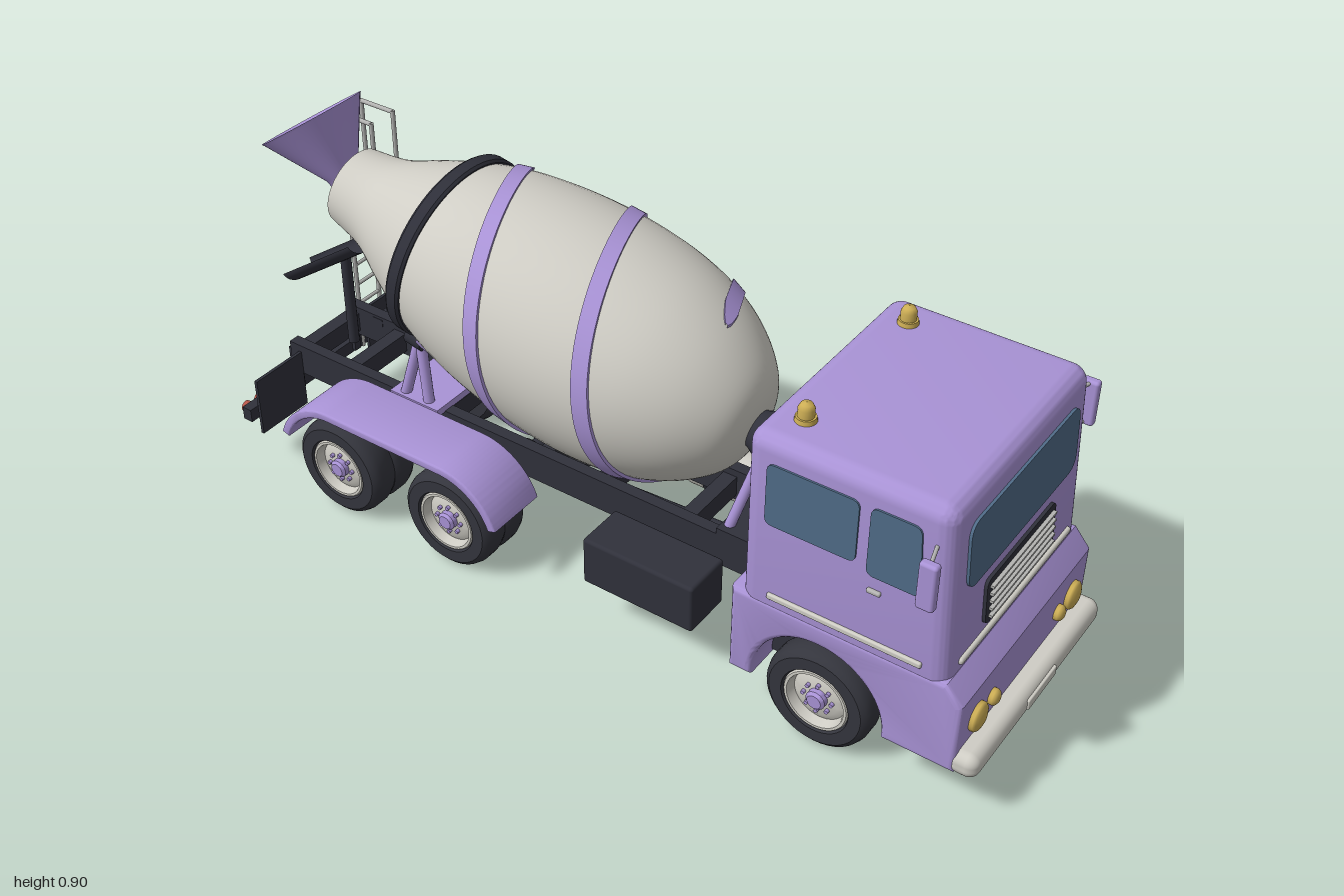
import * as THREE from 'three';
import { toCreasedNormals } from 'three/addons/utils/BufferGeometryUtils.js';
import { RoundedBoxGeometry } from 'three/addons/geometries/RoundedBoxGeometry.js';

const V = (x, y, z) => new THREE.Vector3(x, y, z);
const P = (x, y) => new THREE.Vector2(x, y);
const RAD = Math.PI / 180;

export function createModel() {
  const mat = (name, color) => {
    const m = new THREE.MeshStandardMaterial({ color });
    m.name = name;
    return m;
  };
  const purple = mat('purple paint', 0xa993d6);
  const cream = mat('drum cream', 0xcfcdc5);
  const dark = mat('dark frame', 0x30313b);
  const rubber = mat('tyre rubber', 0x34353d);
  const glass = mat('window glass', 0x506c88);
  const gold = mat('lamp gold', 0xcdae55);
  const red = mat('lamp red', 0xb8574a);
  const steel = mat('steel', 0xb4b4b2);
  const funnelPaint = mat('funnel purple', 0xa993d6);
  funnelPaint.side = THREE.DoubleSide;
  const chuteDark = mat('chute dark', 0x30313b);
  chuteDark.side = THREE.DoubleSide;

  const truck = new THREE.Group();
  truck.name = 'mixerTruck';
  const add = (name, geo, m, x = 0, y = 0, z = 0, parent = truck) => {
    const mesh = new THREE.Mesh(geo, m);
    mesh.name = name;
    mesh.position.set(x, y, z);
    parent.add(mesh);
    return mesh;
  };
  const box = (name, m, w, h, d, x, y, z, r = 0) =>
    add(name, r ? new RoundedBoxGeometry(w, h, d, 4, r) : new THREE.BoxGeometry(w, h, d), m, x, y, z);
  // Round bar between two points
  const bar = (name, m, a, b, r) => {
    const d = b.clone().sub(a);
    const mesh = add(name, new THREE.CylinderGeometry(r, r, d.length(), 14), m);
    mesh.position.copy(a).addScaledVector(d, 0.5);
    mesh.quaternion.setFromUnitVectors(V(0, 1, 0), d.normalize());
    return mesh;
  };
  // Polygon with rounded corners
  const roundPoly = (pts, r) => {
    const s = new THREE.Shape();
    pts.forEach((p, i) => {
      const toward = (q) => p.clone().addScaledVector(q.clone().sub(p).normalize(), r);
      const a = toward(pts[(i + pts.length - 1) % pts.length]);
      const b = toward(pts[(i + 1) % pts.length]);
      i ? s.lineTo(a.x, a.y) : s.moveTo(a.x, a.y);
      s.quadraticCurveTo(p.x, p.y, b.x, b.y);
    });
    return s;
  };
  const rect = (w, h, r) => roundPoly([P(-w / 2, -h / 2), P(w / 2, -h / 2), P(w / 2, h / 2), P(-w / 2, h / 2)], r);
  // Side profile in (z, y), extruded from x0 to x1
  const sideExtrude = (shape, x0, x1, bevel = 0) => {
    const g = new THREE.ExtrudeGeometry(shape, {
      depth: x1 - x0 - 2 * bevel, curveSegments: 20, bevelEnabled: bevel > 0,
      bevelSize: bevel, bevelThickness: bevel, bevelOffset: -bevel, bevelSegments: 3,
    });
    g.rotateY(-Math.PI / 2).translate(x1 - bevel, 0, 0);
    return toCreasedNormals(g, 0.6);
  };

  // Cab: upper body with leaning front, lower body with wheel arches
  const upper = new RoundedBoxGeometry(0.568, 0.447, 0.437, 5, 0.035);
  const up = upper.attributes.position;
  for (let i = 0; i < up.count; i++)
    if (up.getZ(i) > 0) up.setZ(i, up.getZ(i) + (0.2235 - up.getY(i)) * 0.055);
  upper.computeVertexNormals();
  add('cabUpper', toCreasedNormals(upper, 0.6), purple, 0, 0.5035, 0.677);
  const low = new THREE.Shape();
  low.moveTo(0.44, 0.113);
  low.lineTo(0.493, 0.113);
  low.absarc(0.643, 0.125, 0.15, Math.PI, 0, true);
  [[0.793, 0.113], [0.955, 0.113], [0.955, 0.285], [0.918, 0.328], [0.44, 0.328]].forEach((p) => low.lineTo(...p));
  add('cabLower', sideExtrude(low, -0.286, 0.286, 0.012), purple);
  box('wheelHousing', dark, 0.4, 0.17, 0.34, 0, 0.205, 0.643);

  // Front face details
  const frontPlate = (name, m, w, h, r, y, d = 0.008) => {
    const g = new THREE.ExtrudeGeometry(rect(w, h, r), { depth: d, bevelEnabled: false });
    const mesh = add(name, g, m, 0, y, 0.8955 + (0.727 - y) * 0.055 - 0.002);
    mesh.rotation.x = -0.055;
  };
  frontPlate('windshield', glass, 0.455, 0.152, 0.035, 0.591);
  frontPlate('grille', dark, 0.294, 0.108, 0.018, 0.429, 0.009);
  for (let i = 0; i < 5; i++)
    box('grilleBar', steel, 0.27, 0.006, 0.008, 0, 0.393 + i * 0.018, 0.925 - i * 0.001);
  box('frontTrim', cream, 0.474, 0.015, 0.016, 0, 0.35, 0.916, 0.006);
  box('bumper', cream, 0.57, 0.058, 0.066, 0, 0.137, 0.967, 0.024);
  box('numberPlate', cream, 0.125, 0.025, 0.008, 0, 0.14, 1.0, 0.003);

  for (const s of [-1, 1]) {
    // Headlights
    for (const [x, r] of [[0.21, 0.032], [0.145, 0.018]]) {
      const lamp = add('headlight', new THREE.LatheGeometry(
        [P(r, -0.01), P(r, 0.008), P(r * 0.85, 0.013), P(r * 0.5, 0.017), P(0, 0.018)], 28), gold, s * x, 0.21, 0.955);
      lamp.rotation.x = Math.PI / 2;
    }
    // Side windows, trim and handle
    const x0 = s > 0 ? 0.28 : -0.288;
    const front = [P(0.732, 0.512), P(0.847, 0.512), P(0.836, 0.672), P(0.732, 0.672)];
    const rear = [P(0.51, 0.527), P(0.708, 0.527), P(0.708, 0.672), P(0.51, 0.672)];
    for (const w of [front, rear]) add('sideWindow', sideExtrude(roundPoly(w, 0.018), x0, x0 + 0.008), glass);
    box('sideTrim', cream, 0.01, 0.014, 0.34, s * 0.286, 0.35, 0.694, 0.004);
    box('doorHandle', steel, 0.01, 0.01, 0.03, s * 0.287, 0.477, 0.752, 0.004);
    // Mirror
    for (const y of [0.643, 0.55]) bar('mirrorArm', steel, V(s * 0.28, y, 0.865), V(s * 0.336, y, 0.88), 0.004);
    box('mirror', purple, 0.021, 0.108, 0.038, s * 0.336, 0.596, 0.88, 0.007);
    // Roof beacon
    add('beaconBase', new THREE.CylinderGeometry(0.021, 0.023, 0.012, 20), gold, s * 0.196, 0.731, 0.535);
    add('beacon', new THREE.LatheGeometry(
      [P(0.017, 0), P(0.017, 0.02), P(0.012, 0.03), P(0, 0.033)], 20), gold, s * 0.196, 0.735, 0.535);
  }

  // Wheels: lathed tyre, dished rim, hub and nuts, outer side towards +x
  const turn = (pts) => toCreasedNormals(new THREE.LatheGeometry(pts.map((p) => P(...p)), 40), 0.6).rotateZ(-Math.PI / 2);
  const tyre = turn([[0, -0.03], [0.07, -0.03], [0.078, -0.038], [0.106, -0.038], [0.116, -0.03], [0.121, -0.015],
    [0.121, 0.015], [0.116, 0.03], [0.106, 0.038], [0.078, 0.038], [0.074, 0.03]]);
  const rim = turn([[0.075, 0.03], [0.072, 0.036], [0.066, 0.036], [0.06, 0.014], [0.045, 0.022], [0, 0.022]]);
  const hub = turn([[0.022, 0.02], [0.022, 0.034], [0.016, 0.04], [0, 0.04]]);
  const nut = new THREE.CylinderGeometry(0.005, 0.005, 0.012, 6).rotateZ(-Math.PI / 2);
  const wheel = (name, x, z, s) => {
    const g = new THREE.Group();
    g.name = name;
    g.position.set(s * x, 0.122, z);
    if (s < 0) g.rotation.y = Math.PI;
    add('tyre', tyre, rubber, 0, 0, 0, g);
    add('rim', rim, cream, 0, 0, 0, g);
    add('hub', hub, purple, 0, 0, 0, g);
    for (let i = 0; i < 8; i++)
      add('wheelNut', nut, purple, 0.024, 0.033 * Math.cos(i * Math.PI / 4), 0.033 * Math.sin(i * Math.PI / 4), g);
    truck.add(g);
  };
  for (const s of [-1, 1]) {
    wheel('frontWheel', 0.244, 0.643, s);
    for (const z of [-0.311, -0.633]) {
      wheel('rearOuterWheel', 0.244, z, s);
      wheel('rearInnerWheel', 0.18, z, s);
    }
    // Rear fender
    const f = new THREE.Shape();
    f.absarc(-0.311, 0.125, 0.161, 18 * RAD, 90 * RAD, false);
    f.absarc(-0.633, 0.125, 0.161, 90 * RAD, 162 * RAD, false);
    f.absarc(-0.633, 0.125, 0.14, 162 * RAD, 90 * RAD, true);
    f.absarc(-0.311, 0.125, 0.14, 90 * RAD, 18 * RAD, true);
    add('rearFender', sideExtrude(f, s > 0 ? 0.14 : -0.295, s > 0 ? 0.295 : -0.14, 0.004), purple);
    // Frame rail, mud flap and tail lamps
    box('frameRail', dark, 0.028, 0.08, 1.38, s * 0.1, 0.232, -0.23);
    box('mudFlap', dark, 0.15, 0.15, 0.008, s * 0.19, 0.18, -0.888);
    for (const x of [0.2, 0.241])
      add('tailLamp', new THREE.CylinderGeometry(0.014, 0.014, 0.016, 18).rotateX(Math.PI / 2), red, s * x, 0.14, -0.953);
  }

  // Chassis
  for (const z of [0.4, 0.2, -0.02, -0.18, -0.47, -0.75, -0.9])
    box('crossMember', dark, 0.2, 0.05, 0.035, 0, 0.23, z);
  for (const z of [0.643, -0.311, -0.633]) {
    bar('axle', dark, V(-0.2, 0.122, z), V(0.2, 0.122, z), 0.02);
    if (z < 0) add('differential', new THREE.SphereGeometry(0.046, 20, 14), dark, 0, 0.124, z);
  }
  bar('driveShaft', dark, V(0, 0.19, 0.45), V(0, 0.13, -0.633), 0.015);
  box('rearBeam', dark, 0.53, 0.034, 0.026, 0, 0.14, -0.933);
  for (const s of [-1, 1]) box('beamHanger', dark, 0.02, 0.12, 0.02, s * 0.1, 0.19, -0.92);

  // Fuel tank and tool box
  const tank = add('fuelTank', new THREE.LatheGeometry([P(0, -0.155), P(0.045, -0.155), P(0.057, -0.15), P(0.062, -0.138),
    P(0.062, 0.138), P(0.057, 0.15), P(0.045, 0.155), P(0, 0.155)], 36), cream, 0.188, 0.172, 0.198);
  tank.rotation.x = Math.PI / 2;
  for (const z of [0.29, 0.11])
    add('tankStrap', new THREE.CylinderGeometry(0.0645, 0.0645, 0.014, 36).rotateX(Math.PI / 2), dark, 0.188, 0.172, z);
  box('toolBox', dark, 0.12, 0.12, 0.28, -0.195, 0.175, 0.19, 0.008);

  // Drum, tilted with its mouth up at the rear
  const drum = new THREE.Group();
  drum.name = 'drum';
  drum.position.set(0, 0.64, -0.475);
  drum.rotation.x = -79 * RAD;
  truck.add(drum);
  const profile = new THREE.SplineCurve([[0, -0.808], [0.07, -0.8], [0.13, -0.768], [0.19, -0.695], [0.233, -0.6],
    [0.256, -0.49], [0.263, -0.37], [0.256, -0.24], [0.236, -0.11], [0.204, 0], [0.157, 0.107], [0.112, 0.2],
    [0.092, 0.295]].map((p) => P(...p))).getPoints(72);
  add('drumShell', new THREE.LatheGeometry(profile, 64), cream, 0, 0, 0, drum);
  add('drumMouth', new THREE.LatheGeometry([P(0.092, 0.295), P(0.08, 0.297), P(0.08, 0.296)], 48), cream, 0, 0, 0, drum);
  add('mouthOpening', new THREE.CylinderGeometry(0.081, 0.081, 0.01, 40), dark, 0, 0.2905, 0, drum);
  add('drumRing', toCreasedNormals(new THREE.LatheGeometry([P(0.19, -0.018), P(0.214, -0.018), P(0.219, -0.012),
    P(0.219, 0.012), P(0.214, 0.018), P(0.18, 0.018)], 64), 0.5), dark, 0, 0, 0, drum);
  const radiusAt = (t) => {
    const i = Math.max(1, profile.findIndex((p) => p.y >= t));
    const a = profile[i - 1], b = profile[i];
    return a.x + (b.x - a.x) * (t - a.y) / (b.y - a.y);
  };
  // Two raised spiral stripes
  const spiral = (start) => {
    const n = 120, pos = [], idx = [];
    for (let i = 0; i <= n; i++) {
      const deg = 410 * i / n, a = start + deg * RAD, t = -0.68 + deg * 0.001556;
      const w = 0.019 * Math.sqrt(Math.min(1, 0.02 + Math.min(i, n - i) / 4));
      for (const [dt, dr] of [[-w, -0.006], [-w, 0.007], [w, 0.007], [w, -0.006]]) {
        const r = radiusAt(t + dt) + dr;
        pos.push(r * Math.sin(a), t + dt, r * Math.cos(a));
      }
      if (i < n) for (let j = 0; j < 3; j++) {
        const k = i * 4 + j;
        idx.push(k, k + 4, k + 1, k + 4, k + 5, k + 1);
      }
    }
    const g = new THREE.BufferGeometry();
    g.setAttribute('position', new THREE.Float32BufferAttribute(pos, 3));
    g.setIndex(idx);
    return toCreasedNormals(g, 0.6);
  };
  for (const a of [0, Math.PI]) add('drumStripe', spiral(a), purple, 0, 0, 0, drum);
  add('driveMotor', new THREE.LatheGeometry([P(0, -0.885), P(0.045, -0.885), P(0.055, -0.875), P(0.055, -0.83),
    P(0.045, -0.81), P(0.04, -0.79)], 32), dark, 0, 0, 0, drum);

  // Drum supports
  box('frontBase', dark, 0.23, 0.022, 0.12, 0, 0.277, 0.355);
  box('rearBase', purple, 0.28, 0.018, 0.14, 0, 0.279, -0.51);
  for (const s of [-1, 1]) {
    for (const z of [0.39, 0.31]) bar('frontStrut', purple, V(s * 0.09, 0.28, z), V(s * 0.04, 0.455, 0.352), 0.012);
    for (const z of [-0.48, -0.55]) bar('rearStrut', purple, V(s * 0.12, 0.28, z), V(s * 0.105, 0.445, -0.507), 0.013);
    const roller = add('roller', new THREE.CylinderGeometry(0.026, 0.026, 0.045, 20), dark, s * 0.105, 0.445, -0.51);
    roller.rotation.x = -79 * RAD;
  }
  bar('frontYoke', purple, V(-0.05, 0.452, 0.352), V(0.05, 0.452, 0.352), 0.014);

  // Loading funnel and discharge chute
  const funnel = add('funnel', new THREE.LatheGeometry([P(0.036, 0), P(0.04, 0.02), P(0.122, 0.155), P(0.126, 0.16)], 48),
    funnelPaint, 0, 0.7, -0.79);
  funnel.quaternion.setFromUnitVectors(V(0, 1, 0), V(0, 0.82, -0.57).normalize());
  const chute = add('chute', new THREE.CylinderGeometry(0.045, 0.045, 0.275, 20, 1, true, Math.PI / 2, Math.PI),
    chuteDark, 0, 0.478, -0.876);
  chute.scale.z = 0.7;
  chute.rotation.x = Math.PI / 2 + 35 * RAD;
  chute.rotation.x = -Math.PI / 2 - 35 * RAD;
  bar('chutePost', dark, V(0, 0.25, -0.82), V(0, 0.5, -0.82), 0.013);

  // Ladder, platform and handrails
  box('platform', dark, 0.095, 0.014, 0.12, 0.168, 0.612, -0.873);
  for (const x of [0.13, 0.204]) {
    bar('ladderRail', steel, V(x, 0.12, -0.922), V(x, 0.778, -0.922), 0.0055);
    bar('handrailPost', steel, V(x, 0.612, -0.825), V(x, 0.778, -0.825), 0.0055);
    bar('handrailTop', steel, V(x, 0.775, -0.922), V(x, 0.775, -0.825), 0.0055);
    bar('platformPost', dark, V(x, 0.25, -0.82), V(x, 0.612, -0.825), 0.007);
  }
  for (let y = 0.19; y < 0.6; y += 0.056) bar('rung', steel, V(0.13, y, -0.922), V(0.204, y, -0.922), 0.0045);
  box('postFoot', dark, 0.13, 0.02, 0.03, 0.15, 0.255, -0.82);

  return truck;
}
